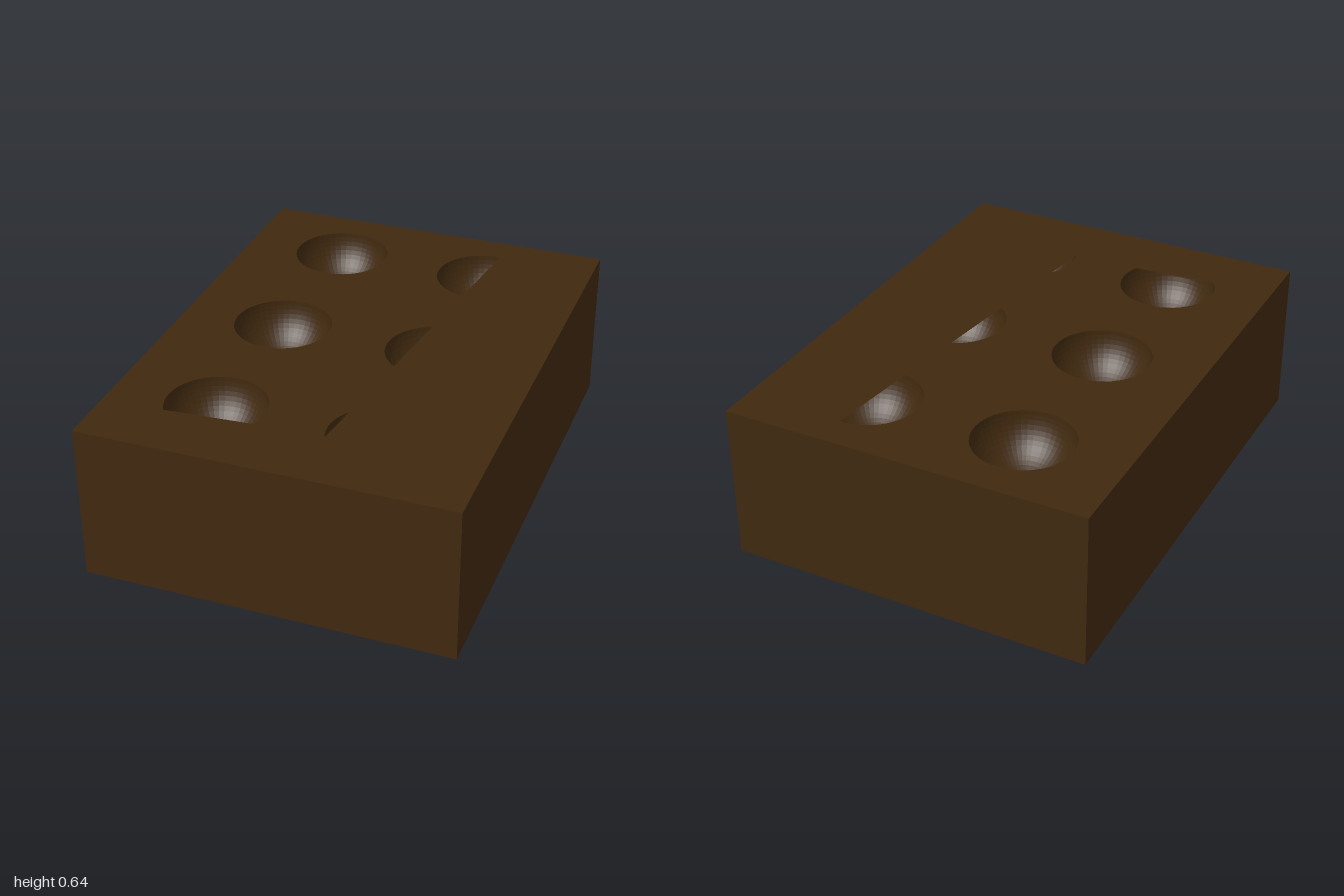
import * as THREE from 'three';

const W = 1.48, H = 0.64, D = 2, R = 0.197, SEGMENTS = 48;

// Lids cover part of some cups: keep the side where a*x + b*z < c
const rightLid = { a: 1, b: 0.1226, c: 0.2233 };
const frontLid = { a: 0.07, b: 1, c: 0.72 };
const cups = [
  { x: -0.325, z: -0.67 },
  { x: -0.325, z: 0 },
  { x: -0.325, z: 0.65, lid: frontLid },
  { x: 0.315, z: -0.67, lid: rightLid },
  { x: 0.317, z: 0, lid: rightLid },
  { x: 0.317, z: 0.65, lid: rightLid },
];

// Cup rim, cut straight along its lid
function opening({ x, z, lid }) {
  const rim = [];
  for (let i = 0; i < SEGMENTS; i++) {
    const t = (i / SEGMENTS) * Math.PI * 2;
    rim.push(new THREE.Vector2(x + R * Math.cos(t), z + R * Math.sin(t)));
  }
  if (!lid) return rim;
  const side = (p) => lid.a * p.x + lid.b * p.y - lid.c;
  const cut = [];
  rim.forEach((p, i) => {
    const q = rim[(i + 1) % SEGMENTS], sp = side(p), sq = side(q);
    if (sp < 0) cut.push(p);
    if (sp * sq < 0) cut.push(p.clone().lerp(q, sp / (sp - sq)));
  });
  return cut;
}

export function createModel() {
  const group = new THREE.Group();
  const color = 0x40290f;
  const solid = new THREE.MeshStandardMaterial({ color, flatShading: true });
  const inside = new THREE.MeshStandardMaterial({ color, flatShading: true, side: THREE.DoubleSide });

  // Sides and bottom: a box without its top face
  const box = new THREE.BoxGeometry(W, H, D);
  const index = Array.from(box.index.array);
  index.splice(12, 6);
  box.setIndex(index);
  box.clearGroups();
  const body = new THREE.Mesh(box, solid);
  body.name = 'body';
  body.position.y = H / 2;
  group.add(body);

  // Top face with the openings
  const sheet = new THREE.Shape([
    new THREE.Vector2(-W / 2, -D / 2), new THREE.Vector2(W / 2, -D / 2),
    new THREE.Vector2(W / 2, D / 2), new THREE.Vector2(-W / 2, D / 2),
  ]);
  for (const cup of cups) {
    sheet.holes.push(new THREE.Path(opening(cup).map((p) => new THREE.Vector2(p.x, -p.y))));
  }
  const top = new THREE.Mesh(new THREE.ShapeGeometry(sheet).rotateX(-Math.PI / 2), solid);
  top.name = 'top';
  top.position.y = H;
  group.add(top);

  // Round cups sunk below the top
  const bowl = new THREE.SphereGeometry(R, SEGMENTS, 16, 0, Math.PI * 2, Math.PI / 2, Math.PI / 2);
  cups.forEach(({ x, z }, i) => {
    const cup = new THREE.Mesh(bowl, inside);
    cup.name = `cup${i + 1}`;
    cup.position.set(x, H, z);
    group.add(cup);
  });
  return group;
}
